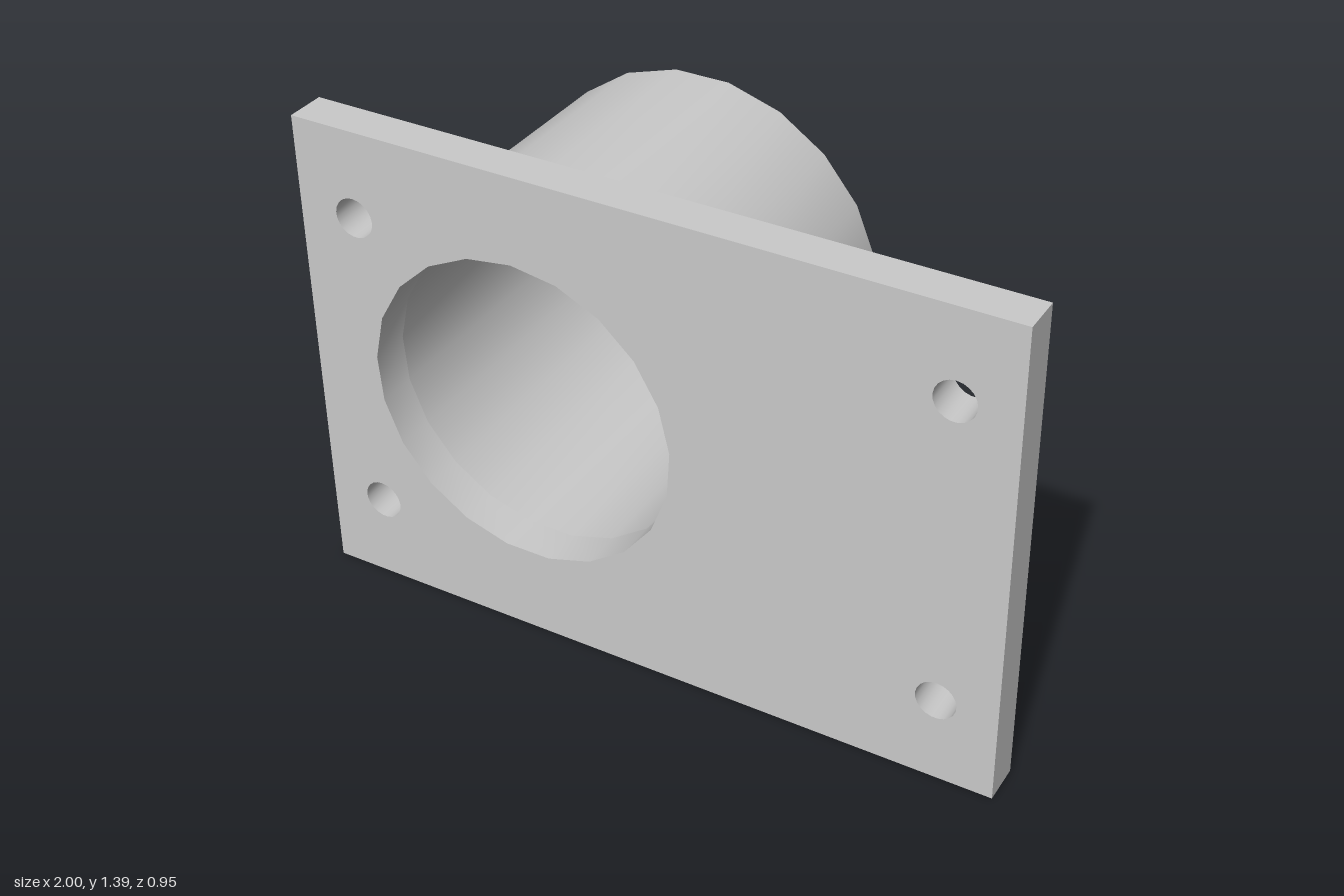
import * as THREE from 'three';
import { toCreasedNormals } from 'three/addons/utils/BufferGeometryUtils.js';

const BORE_X = -0.36, MID_Y = 0.695;
const BACK_Z = -0.473, PLATE_BACK_Z = 0.36, FRONT_Z = 0.473;

// Regular 21-sided outline, counter-clockwise, first corner at the given angle
function ring(x, y, radius, start = Math.PI / 2) {
  return Array.from({ length: 21 }, (_, i) => {
    const a = start + (i / 21) * Math.PI * 2;
    return new THREE.Vector2(x + Math.cos(a) * radius, y + Math.sin(a) * radius);
  });
}

// Extrude an outline with holes between two depths, smoothing the round walls
function slab(name, outline, holes, z0, z1, material) {
  const shape = new THREE.Shape(outline);
  holes.forEach((points) => shape.holes.push(new THREE.Path(points)));
  const solid = new THREE.ExtrudeGeometry(shape, { depth: z1 - z0, bevelEnabled: false });
  solid.translate(0, 0, z0);
  const mesh = new THREE.Mesh(toCreasedNormals(solid, 0.6), material);
  mesh.name = name;
  return mesh;
}

export function createModel() {
  const group = new THREE.Group();
  group.name = 'flangedTube';
  const grey = new THREE.MeshStandardMaterial({ color: 0xcacaca });
  grey.name = 'plain grey';

  const bore = ring(BORE_X, MID_Y, 0.446);

  // Mounting plate with the bore and four bolt holes
  const plate = [[-1, 0], [1, 0], [1, 1.39], [-1, 1.39]].map(([x, y]) => new THREE.Vector2(x, y));
  const boltHoles = [];
  for (const x of [-0.833, 0.833]) {
    for (const y of [-0.445, 0.445]) boltHoles.push(ring(x, MID_Y + y, 0.056));
  }
  group.add(slab('mountingPlate', plate, [bore, ...boltHoles], PLATE_BACK_Z, FRONT_Z, grey));

  // Thick-walled tube behind the plate, its outside with a corner at the bottom
  const tube = ring(BORE_X, MID_Y, 0.553, -Math.PI / 2);
  group.add(slab('tube', tube, [bore], BACK_Z, PLATE_BACK_Z, grey));

  return group;
}
